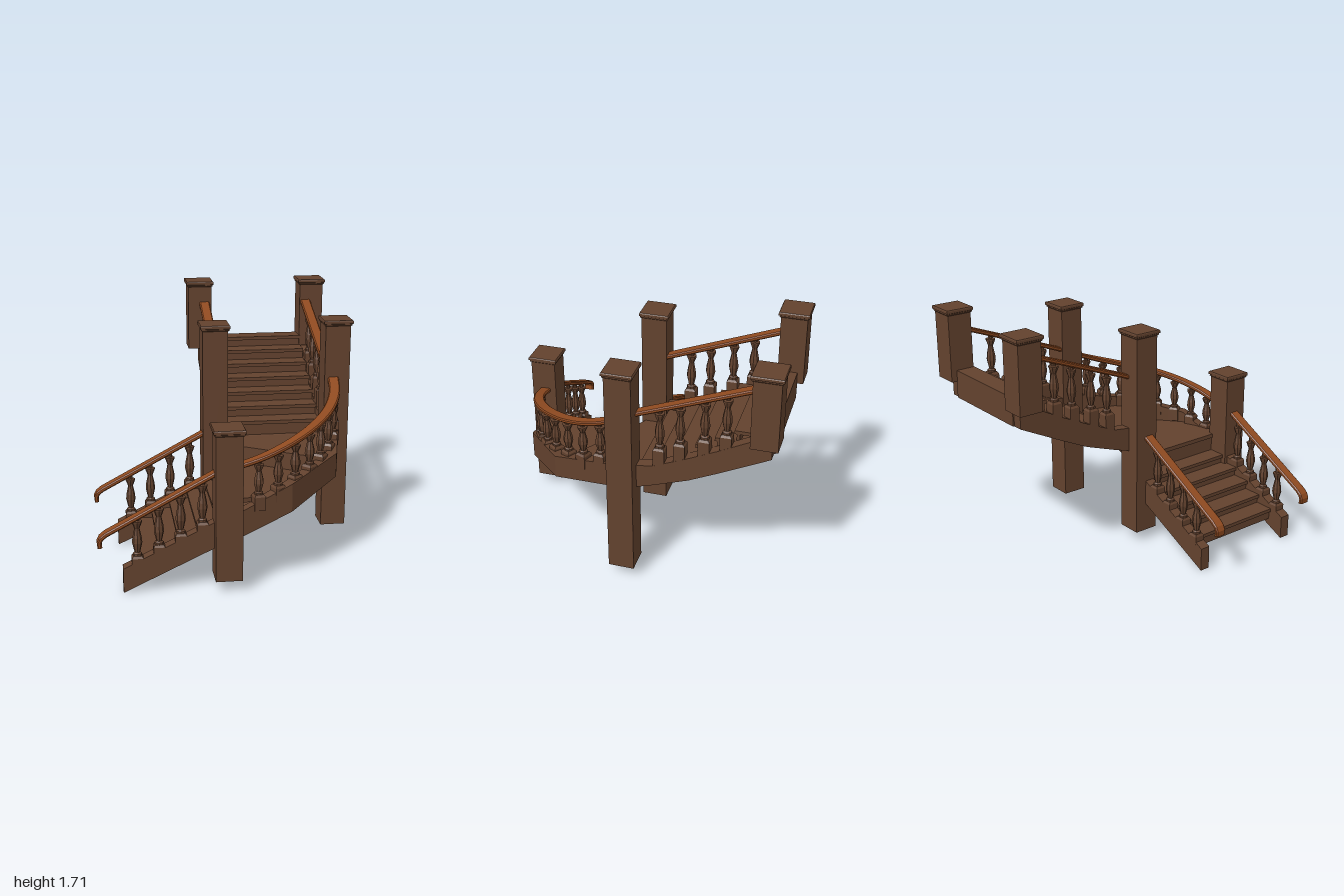
import * as THREE from 'three';

const wood = new THREE.MeshStandardMaterial({ color: 0x63422e });
wood.name = 'dark wood';
const railWood = new THREE.MeshStandardMaterial({ color: 0x8f4a20 });
railWood.name = 'red wood';

// Closed solid through a row of equal-sized corner loops, flat shaded
function loft(sections) {
  const tris = [], n = sections[0].length;
  for (let i = 0; i < sections.length - 1; i++) {
    const a = sections[i], b = sections[i + 1];
    for (let j = 0; j < n; j++) {
      const k = (j + 1) % n;
      tris.push([a[j], a[k], b[k]], [a[j], b[k], b[j]]);
    }
  }
  const first = sections[0], last = sections[sections.length - 1];
  for (let j = 1; j < n - 1; j++) {
    tris.push([first[0], first[j + 1], first[j]], [last[0], last[j], last[j + 1]]);
  }
  // turn the faces outward if the volume comes out negative
  const cross = new THREE.Vector3();
  let volume = 0;
  for (const [a, b, c] of tris) volume += a.dot(cross.crossVectors(b, c));
  if (volume < 0) tris.forEach((t) => t.reverse());
  const geo = new THREE.BufferGeometry().setFromPoints(tris.flat());
  geo.computeVertexNormals();
  return geo;
}

const V = (x, y, z) => new THREE.Vector3(x, y, z);
const square = (x, y, z, w) => [[-1, -1], [1, -1], [1, 1], [-1, 1]].map(([i, k]) => V(x + i * w / 2, y, z + k * w / 2));

export function createModel() {
  const model = new THREE.Group();
  const add = (name, geo, mat = wood, parent = model) => {
    const mesh = new THREE.Mesh(geo, mat);
    mesh.name = name;
    parent.add(mesh);
    return mesh;
  };
  const box = (name, x0, x1, y0, y1, z0, z1) =>
    add(name, new THREE.BoxGeometry(x1 - x0, y1 - y0, z1 - z0))
      .position.set((x0 + x1) / 2, (y0 + y1) / 2, (z0 + z1) / 2);

  // Newel posts with moulded caps: x, z, bottom, top
  const posts = [
    [-0.075, 0.895, 0.08, 1.095], [-0.058, 0.055, 0.08, 1.575], [0.8, 0.037, 0.08, 1.585],
    [-0.055, -0.895, 1.2, 1.715], [0.805, -0.895, 1.2, 1.715],
  ];
  for (const [x, z, y0, y1] of posts) {
    box('newelPost', x - 0.088, x + 0.088, y0, y1 - 0.03, z - 0.088, z + 0.088);
    const profile = [[-0.04, 0.18], [-0.034, 0.192], [-0.026, 0.192], [-0.022, 0.205], [-0.006, 0.205], [0, 0.197]];
    add('postCap', loft(profile.map(([dy, w]) => square(x, y1 + dy, z, w))));
  }

  // Baluster: square block below, turned vase above
  const vase = [[0, 0.03], [0.05, 0.03], [0.08, 0.018], [0.14, 0.022], [0.32, 0.033], [0.45, 0.03],
    [0.68, 0.017], [0.84, 0.034], [0.87, 0.034], [0.88, 0.017], [1, 0.017]];
  function baluster(x, z, foot, top, railY, angle = 0) {
    const g = new THREE.Group();
    g.name = 'baluster';
    g.position.set(x, 0, z);
    g.rotation.y = angle;
    model.add(g);
    add('balusterBlock', loft([[foot, 0.075], [top - 0.015, 0.075], [top, 0.055]].map(([y, w]) => square(0, y, 0, w))), wood, g);
    const pts = vase.map(([t, r]) => new THREE.Vector2(r, top + t * (railY - top)));
    const geo = new THREE.LatheGeometry(pts, 8).toNonIndexed();
    geo.computeVertexNormals();
    add('balusterVase', geo, wood, g);
  }

  // Handrail: bevelled section carried along a path, kept level across
  const railSection = [[-0.038, -0.006], [-0.028, -0.015], [0.028, -0.015], [0.038, -0.006], [0.038, 0.008], [0.03, 0.015], [-0.03, 0.015], [-0.038, 0.008]];
  function handrail(path, endDirs = []) {
    const sections = path.map((p, i) => {
      const a = path[Math.max(i - 1, 0)], b = path[Math.min(i + 1, path.length - 1)];
      const dir = b.clone().sub(a).normalize();
      const flat = endDirs[0] || V(dir.x, 0, dir.z).normalize();
      const side = V(-flat.z, 0, flat.x);
      const up = side.clone().cross(dir).normalize();
      return railSection.map(([s, u]) => p.clone().addScaledVector(side, s).addScaledVector(up, u));
    });
    add('handrail', loft(sections), railWood);
  }

  // Tread boards with risers, climbing along the positive "run" of each flight
  const lowerTreads = 5, run = 0.125;
  for (let i = 0; i < lowerTreads; i++) {
    const x = -0.64 + i * run, y = 0.2 + i * 0.067;
    box('lowerTread', x, x + run + 0.02, y - 0.025, y, 0.12, 0.83);
    box('lowerRiser', x + 0.015, x + 0.035, y - 0.085, y - 0.025, 0.12, 0.83);
  }
  for (let i = 0; i < 7; i++) {
    const z = -0.05 - i * run, y = 0.83 + i * 0.075;
    box('upperTread', 0.015, 0.725, y - 0.025, y, z - run - 0.015, z);
    box('upperRiser', 0.015, 0.725, y - 0.1, y - 0.025, z - 0.035, z - 0.015);
  }
  box('upperEndBoard', 0.015, 0.725, 1.08, 1.275, -0.94, -0.92);

  // Winder treads turning the corner
  const slab = (name, pts, y0, y1) =>
    add(name, loft([y0, y1].map((y) => pts.map(([x, z]) => V(x, y, z)))));
  slab('winderTread', [[-0.02, 0.1], [-0.02, 0.87], [0.33, 0.82], [0.67, 0.53], [0.02, 0.1]], 0.57, 0.6);
  slab('winderTread', [[0, 0.1], [0.67, 0.52], [0.75, 0.13], [0.75, -0.07], [0, -0.07]], 0.69, 0.72);
  slab('winderRiser', [[-0.01, 0.11], [-0.01, 0.87], [0.01, 0.87], [0.01, 0.11]], 0.46, 0.58);
  slab('winderRiser', [[0, 0.09], [0.66, 0.515], [0.67, 0.5], [0.01, 0.075]], 0.585, 0.7);
  box('upperFirstRiser', 0.015, 0.725, 0.69, 0.81, -0.085, -0.065);

  // Lower flight: straight strings, rails with a curled end, balusters
  const lowerString = [[-0.75, 0.005, 0.17], [-0.08, 0.32, 0.5], [0, 0.355, 0.53]];
  for (const [z0, z1, railZ] of [[0.83, 0.905, 0.89], [0.05, 0.122, 0.077]]) {
    add('lowerString', loft(lowerString.map(([x, b, t]) => [V(x, b, z0), V(x, t, z0), V(x, t, z1), V(x, b, z1)])));
    const path = [[-0.893, 0.33], [-0.897, 0.365], [-0.885, 0.39], [-0.855, 0.415], [-0.15, 0.793], [-0.07, 0.83]];
    handrail(path.map(([x, y]) => V(x, y, railZ)), [V(1, 0, 0)]);
    for (let i = 0; i < 4; i++) {
      const x = -0.655 + i * 0.14;
      baluster(x, (z0 + z1) / 2, 0.18 + i * 0.067, 0.25 + i * 0.07, 0.52 + i * 0.075);
    }
  }

  // Upper flight: strings, rails and balusters on both sides
  const upperString = [[0.04, 0.67, 0.86], [-0.05, 0.7, 0.87], [-0.16, 0.735, 0.885], [-0.4, 0.82, 0.99], [-0.6, 0.915, 1.085], [-0.8, 1.015, 1.19], [-0.93, 1.08, 1.2]];
  for (const [x0, x1] of [[-0.058, 0.018], [0.722, 0.798]]) {
    add('upperString', loft(upperString.map(([z, b, t]) => [V(x0, b, z), V(x0, t, z), V(x1, t, z), V(x1, b, z)])));
    const x = (x0 + x1) / 2;
    handrail([V(x, 1.22, 0.03), V(x, 1.55, -0.82)]);
    [-0.2, -0.335, -0.495, -0.635].forEach((z, i) =>
      baluster(x, z, 0.86 + i * 0.067, 1.02 + i * 0.06, 1.31 - (z + 0.2) * 0.39));
  }

  // Curved corner: faceted outer string (x, z, bottom, top)
  const outer = [[0, 0.93, 0.355, 0.53], [0.35, 0.86, 0.49, 0.68], [0.71, 0.55, 0.605, 0.77], [0.82, 0.13, 0.69, 0.86]];
  const inner = [[0, 0.86], [0.315, 0.795], [0.645, 0.515], [0.745, 0.1]];
  add('cornerString', loft(outer.map(([x, z, b, t], i) => {
    const [u, w] = inner[i];
    return [V(x, b, z), V(x, t, z), V(u, t, w), V(u, b, w)];
  })));

  // Corner handrail and its balusters
  const cornerRail = new THREE.CatmullRomCurve3([
    V(-0.05, 0.825, 0.888), V(0.03, 0.84, 0.885), V(0.17, 0.88, 0.865), V(0.35, 0.938, 0.79), V(0.53, 1, 0.65),
    V(0.67, 1.055, 0.46), V(0.75, 1.115, 0.27), V(0.775, 1.175, 0.11),
  ]);
  handrail(cornerRail.getPoints(28));
  for (let i = 0; i < 8; i++) {
    const t = 0.14 + i * 0.112;
    const p = cornerRail.getPointAt(t), d = cornerRail.getTangentAt(t);
    baluster(p.x, p.z, p.y - 0.34, p.y - 0.235, p.y - 0.005, Math.atan2(-d.z, d.x));
  }

  // Soffits closing the underside
  const plank = (a, b) => [a, b, b.clone().setY(b.y + 0.02), a.clone().setY(a.y + 0.02)];
  add('lowerSoffit', loft([[-0.4, 0.18], [0, 0.36]].map(([x, y]) => plank(V(x, y, 0.1), V(x, y, 0.85)))));
  const hubY = [0.36, 0.45, 0.54, 0.645];
  const rimY = [0.36, 0.485, 0.585, 0.67];
  const hub = [[0, 0.13], [0.005, 0.11], [0.01, 0.08], [0.015, 0.02]];
  add('cornerSoffit', loft(hub.map(([x, z], i) =>
    plank(V(x, hubY[i], z), V(inner[i][0] + 0.01, rimY[i], inner[i][1] + 0.01)))));
  const upperSoffit = [[0.1, 0.65], [-0.05, 0.7], [-0.4, 0.822], [-0.6, 0.917], [-0.93, 1.082]];
  add('upperSoffit', loft(upperSoffit.map(([z, y]) => plank(V(0, y, z), V(0.74, y, z)))));

  return model;
}
